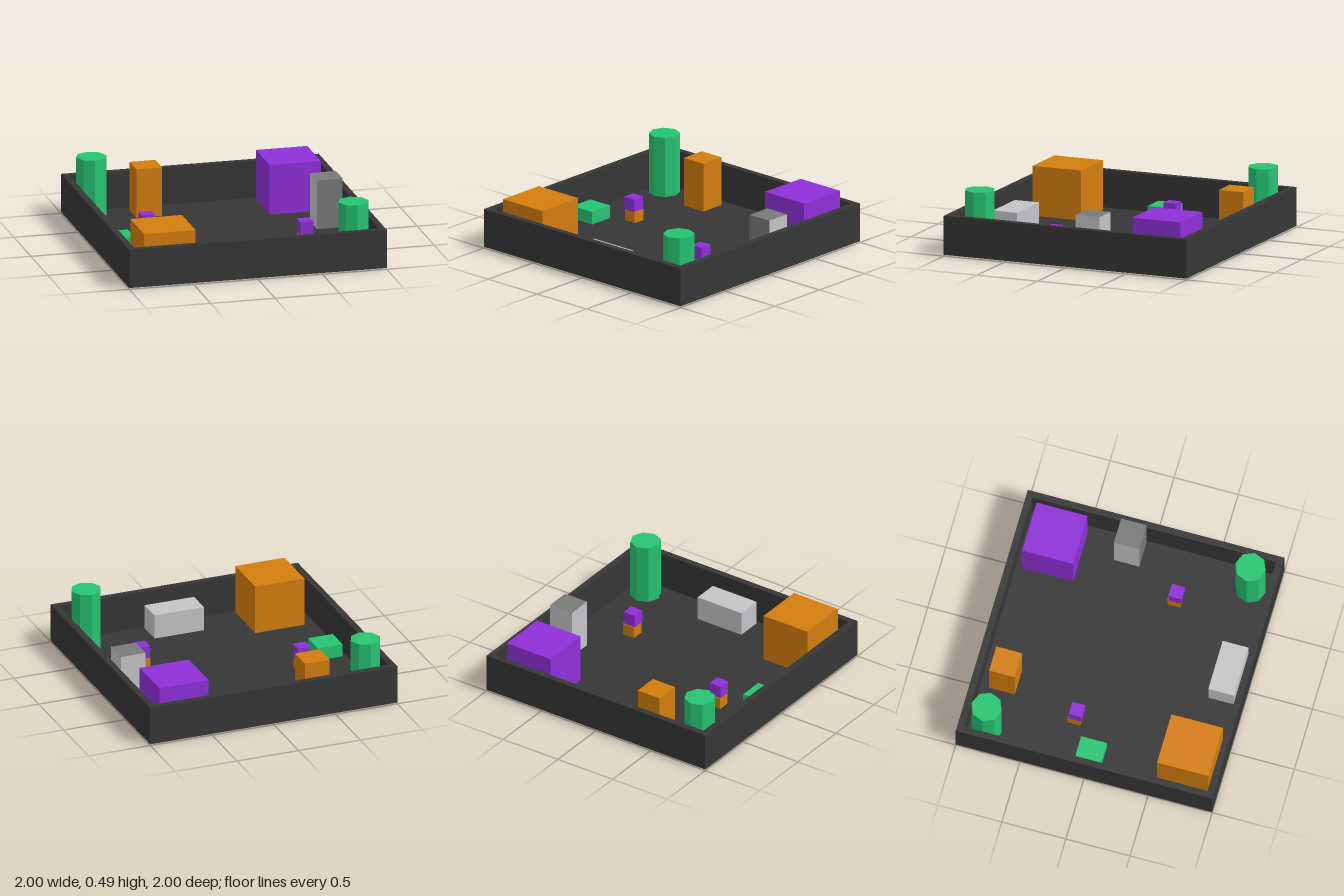
import * as THREE from 'three';

const mat = (name, color) => {
  const m = new THREE.MeshStandardMaterial({ color });
  m.name = name;
  return m;
};

export function createModel() {
  const charcoal = mat('charcoal', 0x363636);
  const green = mat('green', 0x25c471);
  const orange = mat('orange', 0xd37d0e);
  const purple = mat('purple', 0x8e2fd8);
  const light = mat('lightGrey', 0xc4c4c8);
  const grey = mat('midGrey', 0x787a78);

  const model = new THREE.Group();
  model.name = 'arena';

  // Box given by its lowest and highest corner
  const box = (name, material, [x0, y0, z0], [x1, y1, z1], parent = model) => {
    const mesh = new THREE.Mesh(new THREE.BoxGeometry(x1 - x0, y1 - y0, z1 - z0), material);
    mesh.position.set((x0 + x1) / 2, (y0 + y1) / 2, (z0 + z1) / 2);
    mesh.name = name;
    parent.add(mesh);
    return mesh;
  };

  // Floor and four surrounding walls
  box('floor', charcoal, [-0.95, 0.01, -0.95], [0.95, 0.02, 0.95]);
  for (const [s, side] of [[-1, 'right'], [1, 'left']]) {
    box(side + 'Wall', charcoal, [s * 0.975 - 0.025, 0.01, -1], [s * 0.975 + 0.025, 0.31, 1]);
  }
  for (const [s, side] of [[-1, 'back'], [1, 'front']]) {
    box(side + 'Wall', charcoal, [-0.95, 0.01, s * 0.975 - 0.025], [0.95, 0.31, s * 0.975 + 0.025]);
  }

  // Eight-sided pillars in two opposite corners
  for (const [x, z, name] of [[-0.817, -0.81, 'backPillar'], [0.795, 0.795, 'frontPillar']]) {
    const geometry = new THREE.CylinderGeometry(0.1175, 0.1175, 0.478, 8).toNonIndexed();
    geometry.computeVertexNormals();
    const pillar = new THREE.Mesh(geometry, green);
    pillar.position.set(x, 0.251, z);
    pillar.name = name;
    model.add(pillar);
  }

  // Obstacle blocks
  box('tallBlock', orange, [-0.5, 0, -0.88], [-0.3, 0.4, -0.68]);
  box('largeOrangeBlock', orange, [-0.867, 0.012, 0.533], [-0.467, 0.403, 0.933]);
  box('largePurpleBlock', purple, [0.487, 0.012, -0.9], [0.885, 0.41, -0.503]);
  box('lowBlock', green, [-0.92, 0, -0.1], [-0.72, 0.12, 0.1]);
  box('lightBlock', light, [-0.13, 0.012, 0.725], [0.27, 0.21, 0.925]);
  // Face order: +x, -x, top, bottom, front, back
  box('greyBlock', [light, light, grey, grey, grey, light], [0.737, 0.012, -0.255], [0.937, 0.402, -0.057]);

  // Small two-cube figures, the upper cube set slightly forward
  for (const [x, z, name] of [[-0.555, -0.18, 'backFigure'], [0.555, 0.285, 'frontFigure']]) {
    const figure = new THREE.Group();
    figure.name = name;
    figure.position.set(x, 0, z);
    box('lowerCube', orange, [-0.05, 0.012, -0.058], [0.05, 0.11, 0.042], figure);
    box('upperCube', purple, [-0.05, 0.11, -0.05], [0.05, 0.21, 0.05], figure);
    model.add(figure);
  }

  return model;
}
